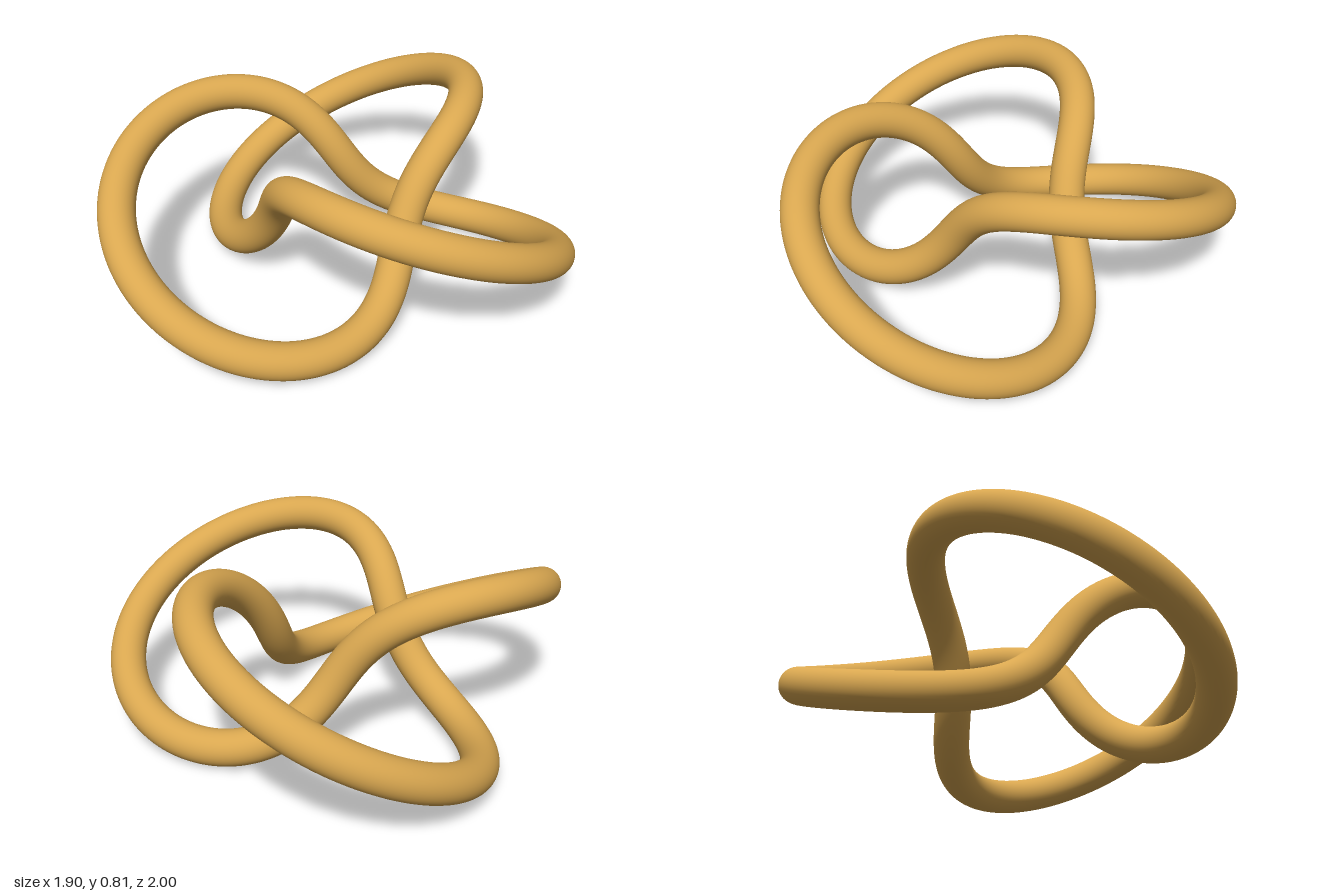
import * as THREE from 'three';

const K = 0.3258;        // knot scale
const TUBE = 0.24 * K;   // tube radius
const SHIFT_X = -0.318 * K; // centres the three lobes' bounding box on x

// Closed path winding twice round the axis and three times round the ring
class TrefoilCurve extends THREE.Curve {
  getPoint(u, target = new THREE.Vector3()) {
    const t = u * Math.PI * 2;
    const r = K * (2 + Math.cos(3 * t));
    return target.set(
      r * Math.cos(2 * t) + SHIFT_X,
      K * Math.sin(3 * t) + K + TUBE,
      r * Math.sin(2 * t)
    );
  }
}

export function createModel() {
  const gold = new THREE.MeshStandardMaterial({ color: 0xd9a750 });
  gold.name = 'gold';

  // Single round tube following the knot
  const knot = new THREE.Mesh(new THREE.TubeGeometry(new TrefoilCurve(), 400, TUBE, 40, true), gold);
  knot.name = 'trefoilKnot';

  const group = new THREE.Group();
  group.name = 'knotModel';
  group.add(knot);
  return group;
}
